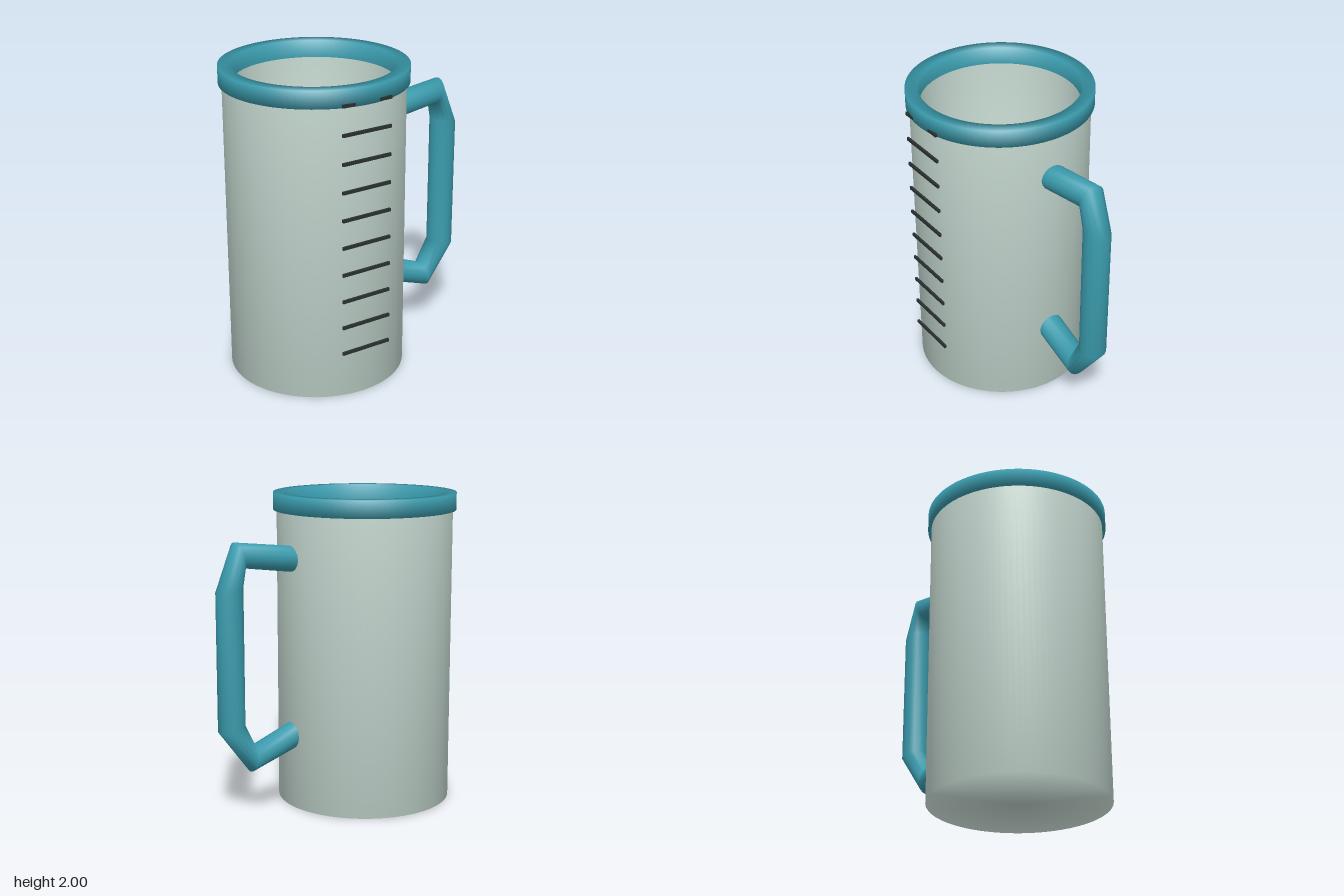
import * as THREE from 'three';

const shell = new THREE.MeshStandardMaterial({ color: 0xc5d8d0 });
const teal = new THREE.MeshStandardMaterial({ color: 0x3a9bad });
const dark = new THREE.MeshStandardMaterial({ color: 0x2a3030 });

const CX = -0.25, CZ = -0.015; // cup axis

function add(group, name, geometry, material, x = 0, y = 0, z = 0) {
  const mesh = new THREE.Mesh(geometry, material);
  mesh.name = name;
  mesh.position.set(x, y, z);
  group.add(mesh);
  return mesh;
}

const lathe = (pts) =>
  new THREE.LatheGeometry(pts.map(([x, y]) => new THREE.Vector2(x, y)), 96);

// Tube with mitred corners: each ring is given by its outer and inner point in the xy plane
function mitredTube(rings, halfWidth, sides) {
  const pos = [], index = [];
  for (const [ox, oy, ix, iy] of rings) {
    for (let j = 0; j < sides; j++) {
      const t = (j / sides) * Math.PI * 2, c = Math.cos(t);
      pos.push((ox + ix) / 2 + ((ox - ix) / 2) * c,
        (oy + iy) / 2 + ((oy - iy) / 2) * c,
        halfWidth * Math.sin(t));
    }
  }
  for (let i = 0; i < rings.length - 1; i++) {
    for (let j = 0; j < sides; j++) {
      const k = (j + 1) % sides;
      const a = i * sides + j, b = i * sides + k;
      index.push(a, b, a + sides, b, b + sides, a + sides);
    }
  }
  const geo = new THREE.BufferGeometry();
  geo.setAttribute('position', new THREE.Float32BufferAttribute(pos, 3));
  geo.setIndex(index);
  geo.computeVertexNormals();
  return geo;
}

export function createModel() {
  const group = new THREE.Group();
  group.name = 'measuringCup';

  // Hollow body: underside with centre dimple, outer wall, lip, inner wall, floor
  add(group, 'body', lathe([
    [0, 0.012], [0.03, 0], [0.563, 0], [0.563, 1.94],
    [0.507, 1.94], [0.49, 0.02], [0, 0.02],
  ]), shell, CX, 0, CZ);

  // Coloured floor inside the cup
  const floor = add(group, 'innerFloor', new THREE.CircleGeometry(0.492, 96), teal, CX, 0.03, CZ);
  floor.rotation.x = -Math.PI / 2;

  // Rim band around the mouth
  add(group, 'rim', lathe([
    [0.5, 1.89], [0.585, 1.89], [0.585, 2], [0.505, 2], [0.5, 1.89],
  ]), teal, CX, 0, CZ);

  // Angular handle on the left side
  add(group, 'handle', mitredTube([
    [0.285, 1.69, 0.295, 1.527],
    [0.705, 1.742, 0.65, 1.58],
    [0.83, 1.44, 0.658, 1.47],
    [0.83, 0.565, 0.658, 0.6],
    [0.617, 0.285, 0.585, 0.45],
    [0.275, 0.4, 0.295, 0.566],
  ], 0.085, 16), teal, 0, 0, CZ);

  // Ten graduation bars up the front
  for (let i = 0; i < 10; i++) {
    add(group, 'graduationMark' + (i + 1), new THREE.BoxGeometry(0.34, 0.02, 0.014),
      dark, CX, 0.31 + i * 0.177, 0.557);
  }
  return group;
}
